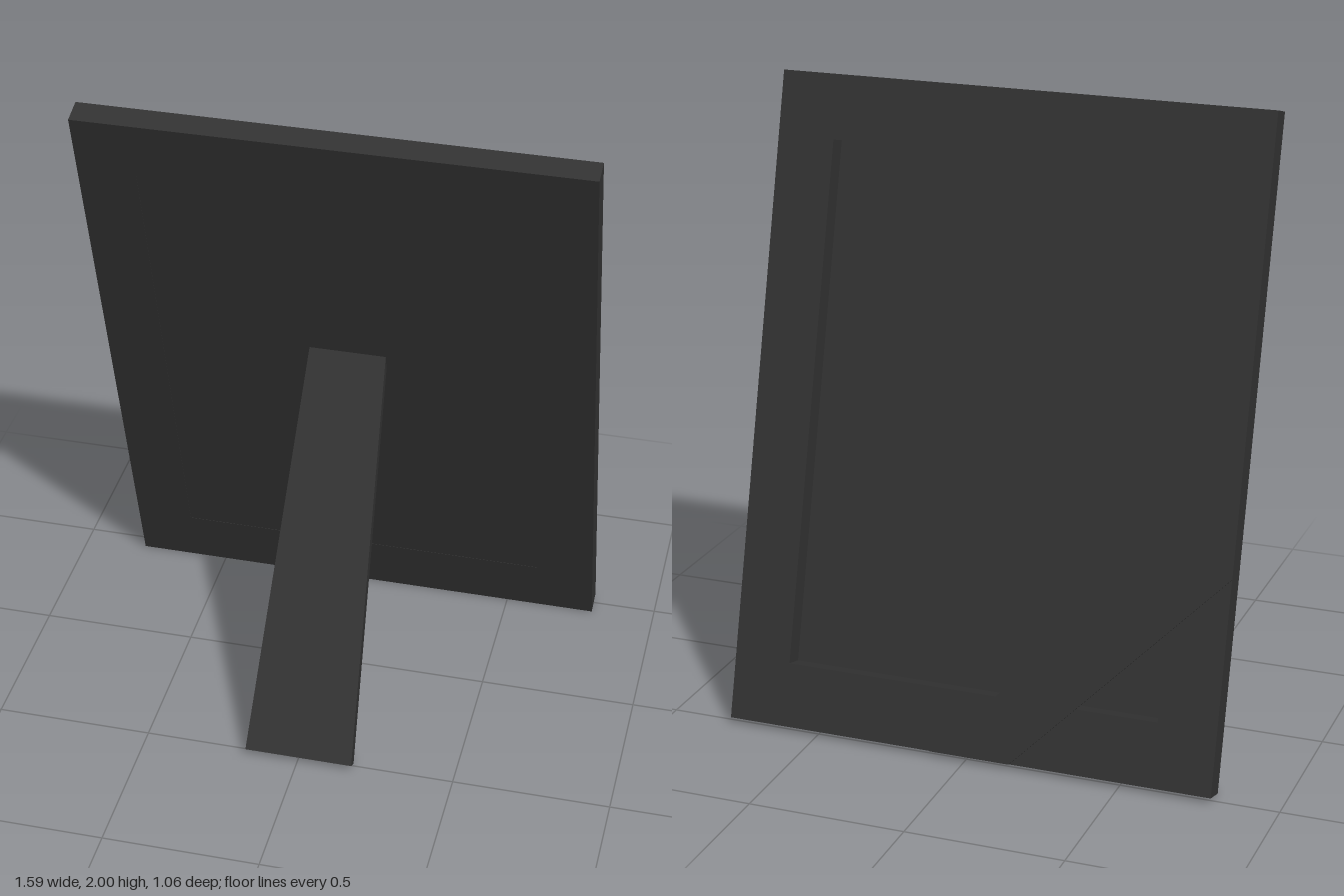
import * as THREE from 'three';

const material = new THREE.MeshStandardMaterial({ color: 0x333333 });

// Flat polygon extruded from z0 to z1
function plate(name, points, z0, z1) {
  const shape = new THREE.Shape(points.map(([x, y]) => new THREE.Vector2(x, y)));
  const geometry = new THREE.ExtrudeGeometry(shape, { depth: z1 - z0, bevelEnabled: false });
  geometry.translate(0, 0, z0);
  const mesh = new THREE.Mesh(geometry, material);
  mesh.name = name;
  return mesh;
}

export function createModel() {
  const model = new THREE.Group();
  model.name = 'pictureFrame';

  // Leaning frame: picture side is local -z, leg side is local +z
  const frame = new THREE.Group();
  frame.name = 'frame';
  frame.position.set(0, 1, -0.222);
  frame.rotation.x = THREE.MathUtils.degToRad(15);
  model.add(frame);

  const W = 0.793, H = 1.025, w = 0.607, h = 0.823, T = 0.039;

  // Four mitred bars
  const rail = [[-W, H], [-w, h], [w, h], [W, H]];
  const stile = [[W, H], [w, h], [w, -h], [W, -H]];
  for (const [name, points, angle] of [
    ['topBar', rail, 0], ['bottomBar', rail, Math.PI],
    ['leftBar', stile, 0], ['rightBar', stile, Math.PI],
  ]) {
    const bar = plate(name, points, -T, T);
    bar.rotation.z = angle;
    frame.add(bar);
  }

  // Picture panel, recessed on the picture side and nearly flush on the leg side
  frame.add(plate('picturePanel', [[-w, -h], [w, -h], [w, h], [-w, h]], T - 0.013, T - 0.001));

  // Diagonal band across the lower corner
  frame.add(plate('cornerRibbon',
    [[-0.795, -0.095], [-0.795, -0.362], [-0.15, -H], [0.11, -H]], -T - 0.006, -T + 0.001));

  // Tapered leg: box corners moved onto a slanted side profile
  const geometry = new THREE.BoxGeometry(1, 1, 1);
  const pos = geometry.attributes.position;
  const profile = { // [y, z] of the outer and inner corners
    bottom: { outer: [0.025, 0.53], inner: [0.004, 0.496] },
    top: { outer: [1.135, -0.148], inner: [1.084, -0.163] },
  };
  for (let i = 0; i < pos.count; i++) {
    const isTop = pos.getY(i) > 0;
    const [y, z] = profile[isTop ? 'top' : 'bottom'][pos.getZ(i) > 0 ? 'outer' : 'inner'];
    pos.setXYZ(i, 0.005 + Math.sign(pos.getX(i)) * (isTop ? 0.123 : 0.173), y, z);
  }
  geometry.computeVertexNormals();
  const leg = new THREE.Mesh(geometry, material);
  leg.name = 'supportLeg';
  model.add(leg);

  return model;
}
